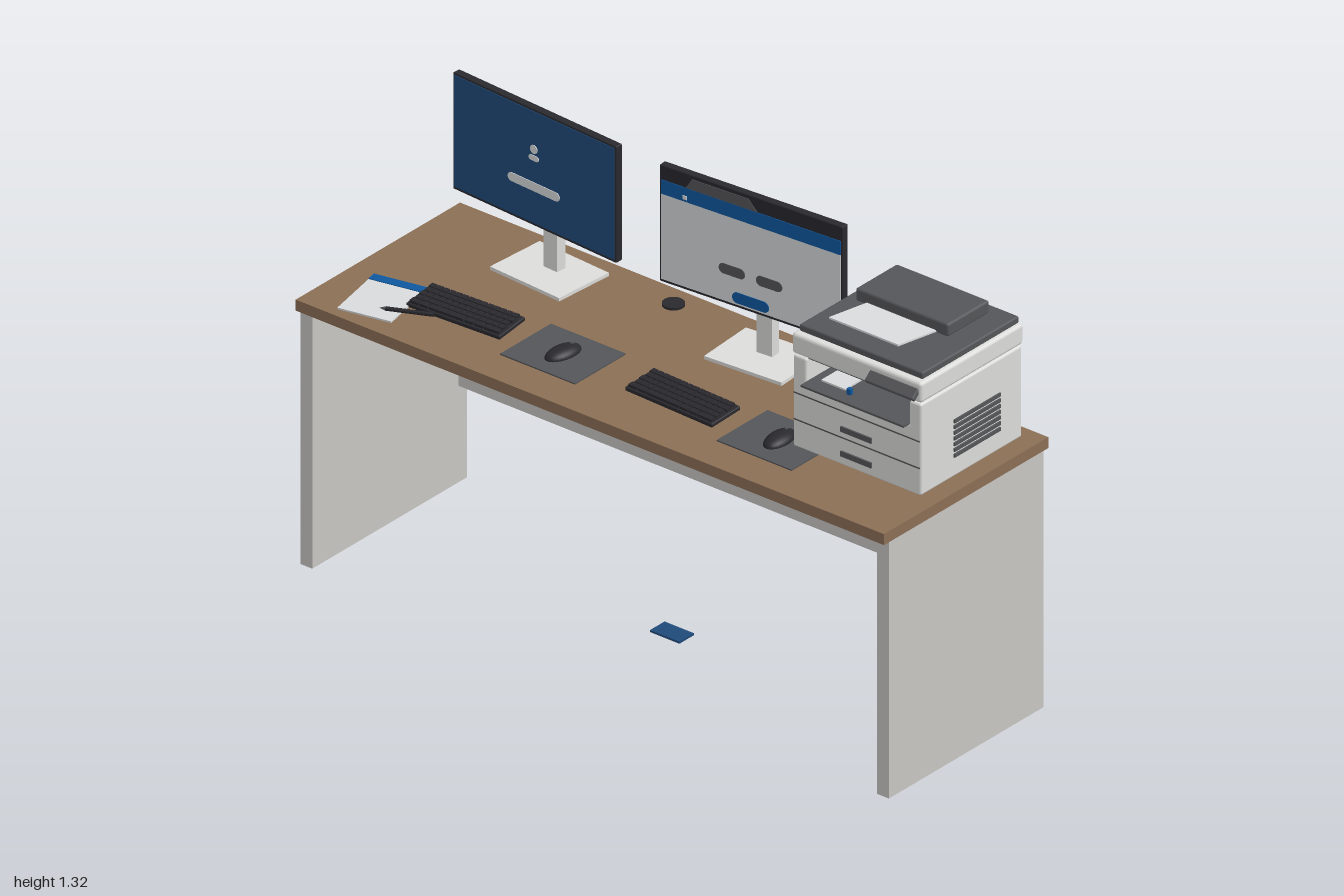
import * as THREE from 'three';
import { RoundedBoxGeometry } from 'three/addons/geometries/RoundedBoxGeometry.js';

const mat = (name, color) => Object.assign(new THREE.MeshStandardMaterial({ color }), { name });
const M = {
  wood: mat('wood', 0x8c6f56),
  panel: mat('pale panel', 0xc9c7c4),
  white: mat('white plastic', 0xdcdcda),
  paper: mat('paper', 0xd9dadb),
  black: mat('black plastic', 0x29292e),
  grey: mat('dark grey', 0x555659),
  navy: mat('screen blue', 0x1f4a7a),
  blue: mat('bright blue', 0x0f58a0),
};

function add(parent, name, geo, material, x = 0, y = 0, z = 0) {
  const m = new THREE.Mesh(geo, material);
  m.name = name;
  m.position.set(x, y, z);
  parent.add(m);
  return m;
}
// Box given by its limits on each axis
function box(parent, name, material, [x0, x1], [y0, y1], [z0, z1], r = 0) {
  const s = [x1 - x0, y1 - y0, z1 - z0];
  const geo = r ? new RoundedBoxGeometry(...s, 2, r) : new THREE.BoxGeometry(...s);
  return add(parent, name, geo, material, (x0 + x1) / 2, (y0 + y1) / 2, (z0 + z1) / 2);
}
function group(parent, name, x, y, z, ry = 0) {
  const g = new THREE.Group();
  g.name = name;
  g.position.set(x, y, z);
  g.rotation.y = ry;
  parent.add(g);
  return g;
}
// Thin plate with rounded ends, facing +z
function pill(parent, name, material, w, h, x, y, z) {
  const r = h / 2, a = w / 2 - r, s = new THREE.Shape();
  s.absarc(a, 0, r, -Math.PI / 2, Math.PI / 2);
  s.absarc(-a, 0, r, Math.PI / 2, Math.PI * 1.5);
  const geo = new THREE.ExtrudeGeometry(s, { depth: 0.002, bevelEnabled: false, curveSegments: 8 });
  return add(parent, name, geo, material, x, y, z);
}

function desk(root) {
  const g = group(root, 'desk', 0, 0, 0);
  box(g, 'desktop', M.wood, [-1, 1], [0.77, 0.803], [-0.34, 0.34]);
  for (const s of [-1, 1])
    box(g, 'sidePanel', M.panel, [s * 0.98 - 0.02, s * 0.98 + 0.02], [0, 0.77], [-0.32, 0.32]);
  box(g, 'modestyPanel', M.panel, [-0.96, 0.96], [0.29, 0.77], [-0.31, -0.285]);
  add(g, 'cableGrommet', new THREE.CylinderGeometry(0.031, 0.031, 0.008, 24), M.black, -0.215, 0.806, -0.268);
  box(root, 'floorCard', M.navy, [-0.05, 0.05], [0.006, 0.012], [-0.03, 0.03]);
}

// Display on a stand, centred on its own x = 0
function monitor(root, x, ry) {
  const g = group(root, 'monitor', x, 0, -0.15, ry);
  box(g, 'frame', M.black, [-0.295, 0.295], [0.967, 1.317], [-0.012, 0.012], 0.003);
  box(g, 'rearHousing', M.black, [-0.225, 0.225], [1.01, 1.255], [-0.04, -0.01], 0.01);
  box(g, 'standMount', M.white, [-0.022, 0.022], [0.99, 1.04], [-0.05, -0.038]);
  box(g, 'standPole', M.white, [-0.025, 0.025], [0.81, 1.05], [-0.08, -0.048]);
  box(g, 'standBase', M.white, [-0.125, 0.125], [0.803, 0.813], [-0.14, 0.05]);
  return g;
}

function loginScreen(g) {
  box(g, 'screen', M.navy, [-0.289, 0.289], [0.976, 1.311], [0.011, 0.014]);
  pill(g, 'entryBar', M.paper, 0.187, 0.026, 0, 1.086, 0.014);
  add(g, 'userHead', new THREE.CylinderGeometry(0.013, 0.013, 0.003, 20), M.paper, 0, 1.198, 0.0145)
    .rotation.x = Math.PI / 2;
  pill(g, 'userShoulders', M.paper, 0.036, 0.016, 0, 1.172, 0.014);
}

function windowScreen(g) {
  box(g, 'page', M.paper, [-0.289, 0.289], [0.976, 1.232], [0.011, 0.014]);
  box(g, 'toolbar', M.blue, [-0.289, 0.289], [1.232, 1.274], [0.011, 0.014]);
  const s = new THREE.Shape([[-0.21, 1.274], [0.02, 1.274], [-0.01, 1.306], [-0.19, 1.306]]
    .map(p => new THREE.Vector2(...p)));
  add(g, 'tab', new THREE.ExtrudeGeometry(s, { depth: 0.002, bevelEnabled: false }), M.grey, 0, 0, 0.0115);
  box(g, 'toolbarIcon', M.paper, [-0.219, -0.205], [1.239, 1.25], [0.014, 0.016]);
  for (const x of [-0.06, 0.06]) pill(g, 'greyButton', M.grey, 0.084, 0.03, x, 1.073, 0.014);
  pill(g, 'blueButton', M.blue, 0.118, 0.032, 0, 0.998, 0.014);
}

function keyboard(root, x, ry) {
  const g = group(root, 'keyboard', x, 0.812, 0.12, ry);
  g.rotation.order = 'YXZ';
  g.rotation.x = 0.07;
  box(g, 'keyboardBody', M.black, [-0.153, 0.153], [-0.006, 0.006], [-0.057, 0.057], 0.003);
  for (let r = 0; r < 5; r++) {
    const z = -0.042 + r * 0.021;
    if (r === 4) {
      // Bottom row with the space bar
      for (const [a, b] of [[-0.146, -0.118], [-0.114, -0.086], [-0.082, 0.03], [0.034, 0.062], [0.066, 0.094], [0.098, 0.146]])
        box(g, 'key', M.black, [a, b], [0.005, 0.014], [z - 0.0085, z + 0.0085]);
      continue;
    }
    for (let c = 0; c < 14; c++) {
      const kx = -0.137 + c * 0.0207 + (r % 2) * 0.004;
      box(g, 'key', M.black, [kx - 0.0085, kx + 0.0085], [0.005, 0.014], [z - 0.0085, z + 0.0085]);
    }
  }
}

function mouse(root, x, ry) {
  box(root, 'mousePad', M.grey, [x - 0.127, x + 0.127], [0.803, 0.807], [0.02, 0.23]);
  const g = group(root, 'mouse', x, 0.807, 0.125, ry);
  const dome = new THREE.SphereGeometry(1, 24, 10, 0, Math.PI * 2, 0, Math.PI / 2);
  dome.scale(0.033, 0.022, 0.06);
  add(g, 'mouseBody', dome, M.black);
  add(g, 'scrollWheel', new THREE.CylinderGeometry(0.008, 0.008, 0.006, 14), M.grey, 0, 0.014, -0.034)
    .rotation.z = Math.PI / 2;
}

function notes(root) {
  const g = group(root, 'notepad', -0.825, 0.803, 0.192, 0.2);
  box(g, 'sheet', M.paper, [-0.08, 0.08], [0, 0.005], [-0.1, 0.105]);
  box(g, 'sheetHeader', M.blue, [-0.08, 0.08], [0.004, 0.007], [-0.1, -0.07]);
  const pen = group(root, 'pen', -0.715, 0.814, 0.215, 0.43);
  add(pen, 'penBarrel', new THREE.CylinderGeometry(0.006, 0.006, 0.13, 12), M.black).rotation.z = Math.PI / 2;
  add(pen, 'penTip', new THREE.ConeGeometry(0.006, 0.018, 12), M.grey, -0.074).rotation.z = Math.PI / 2;
}

function printer(root) {
  const g = group(root, 'printer', 0, 0, 0);
  const X = [0.515, 0.95], Z = [-0.293, 0.127];
  // Body around the paper outlet
  box(g, 'foot', M.grey, [0.535, 0.93], [0.803, 0.812], [-0.27, 0.1]);
  box(g, 'lowerBody', M.white, X, [0.807, 1.012], Z, 0.007);
  box(g, 'rearBody', M.white, X, [1.0, 1.082], [Z[0], -0.08], 0.007);
  box(g, 'outletLeftWall', M.white, [0.91, X[1]], [1.0, 1.082], [-0.1, Z[1]], 0.007);
  box(g, 'outletRightWall', M.white, [X[0], 0.56], [1.0, 1.082], [-0.1, Z[1]], 0.007);
  box(g, 'outletLedge', M.grey, [0.56, 0.91], [1.009, 1.015], [-0.08, 0.15]);
  box(g, 'printedSheet', M.paper, [0.59, 0.67], [1.015, 1.02], [-0.07, 0.1]);
  box(g, 'statusLight', M.blue, [0.685, 0.698], [1.015, 1.032], [0.1, 0.112]);
  // Scanner and lid
  box(g, 'scannerNeck', M.grey, [0.525, 0.94], [1.078, 1.09], [-0.285, 0.115]);
  box(g, 'scannerUnit', M.white, [0.512, 0.953], [1.086, 1.147], [-0.296, 0.13], 0.01);
  box(g, 'scannerLid', M.grey, [0.523, 0.942], [1.147, 1.168], [-0.29, 0.11], 0.005);
  box(g, 'feederBody', M.grey, [0.555, 0.87], [1.166, 1.205], [-0.255, -0.083], 0.007);
  const tray = box(g, 'feederSheet', M.paper, [0.594, 0.83], [1.181, 1.186], [-0.088, 0.075]);
  tray.rotation.x = -0.15;
  const control = box(g, 'controlPanel', M.grey, [0.78, 0.945], [1.106, 1.122], [0.12, 0.155], 0.004);
  control.rotation.x = 0.7;
  // Paper drawers
  for (const y of [0.97, 0.89])
    box(g, 'drawerSeam', M.grey, [0.518, 0.947], [y - 0.002, y + 0.002], [0.12, 0.128]);
  for (const y of [0.917, 0.843])
    box(g, 'drawerHandle', M.grey, [0.68, 0.785], [y - 0.008, y + 0.008], [0.12, 0.132]);
  // Side vents
  for (let i = 0; i < 7; i++) {
    const y = 0.872 + i * 0.0172;
    box(g, 'vent', M.grey, [0.945, 0.955], [y - 0.005, y + 0.005], [-0.2, -0.008]);
  }
}

export function createModel() {
  const root = new THREE.Group();
  root.name = 'officeDesk';
  desk(root);
  loginScreen(monitor(root, -0.58, -0.07));
  windowScreen(monitor(root, 0.155, 0.07));
  keyboard(root, -0.603, 0.05);
  keyboard(root, 0.135, -0.04);
  mouse(root, -0.268, -0.12);
  mouse(root, 0.468, 0.08);
  notes(root);
  printer(root);
  return root;
}
